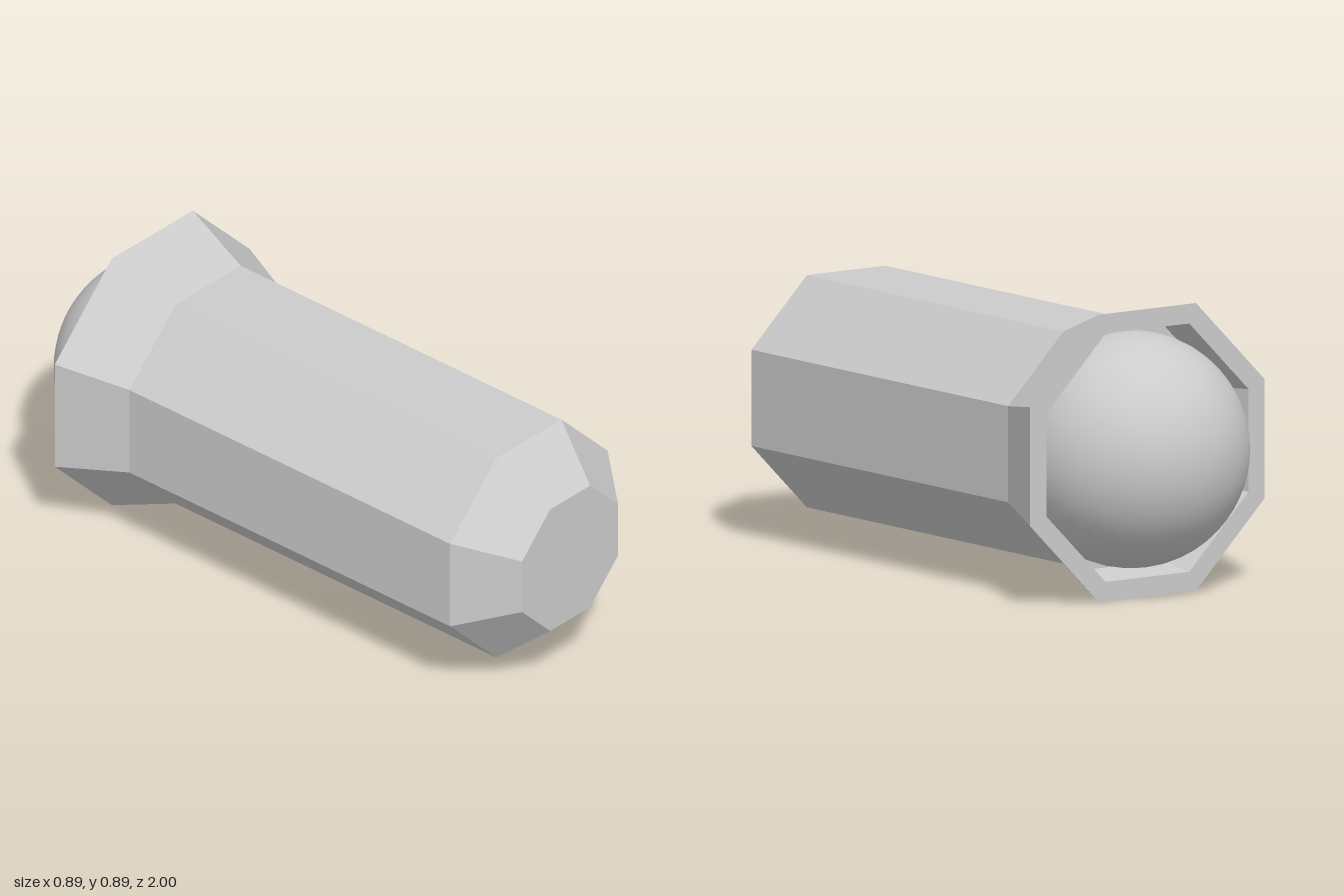
import * as THREE from 'three';

const CENTER_Y = 0.446;
const SIDES = 8;

// Octagonal solid along z from [apothem, z] pairs, with flats on top and sides
function octagonalBody(profile) {
  const toCorner = 1 / Math.cos(Math.PI / SIDES);
  const points = profile.map(([a, z]) => new THREE.Vector2(a * toCorner, z));
  const geometry = new THREE.LatheGeometry(points, SIDES, Math.PI / SIDES).toNonIndexed();
  geometry.rotateX(Math.PI / 2);
  geometry.computeVertexNormals();
  return geometry;
}

export function createModel() {
  const group = new THREE.Group();
  const add = (name, geometry, z, flatShading) => {
    const material = new THREE.MeshStandardMaterial({ color: 0xcccccc, flatShading });
    const mesh = new THREE.Mesh(geometry, material);
    mesh.name = name;
    mesh.position.set(0, CENTER_Y, z);
    group.add(mesh);
  };

  // Housing: recessed socket, flat rim, flared collar, straight barrel, chamfered front
  add('housing', octagonalBody([
    [0, -0.6], [0.365, -0.6], [0.385, -0.72], [0.446, -0.72],
    [0.36, -0.49], [0.36, 0.83], [0.22, 1], [0, 1],
  ]), 0, true);

  // Smooth ball seated in the rear socket
  add('ball', new THREE.SphereGeometry(0.365, 48, 32).rotateX(Math.PI / 2), -0.635, false);

  return group;
}
